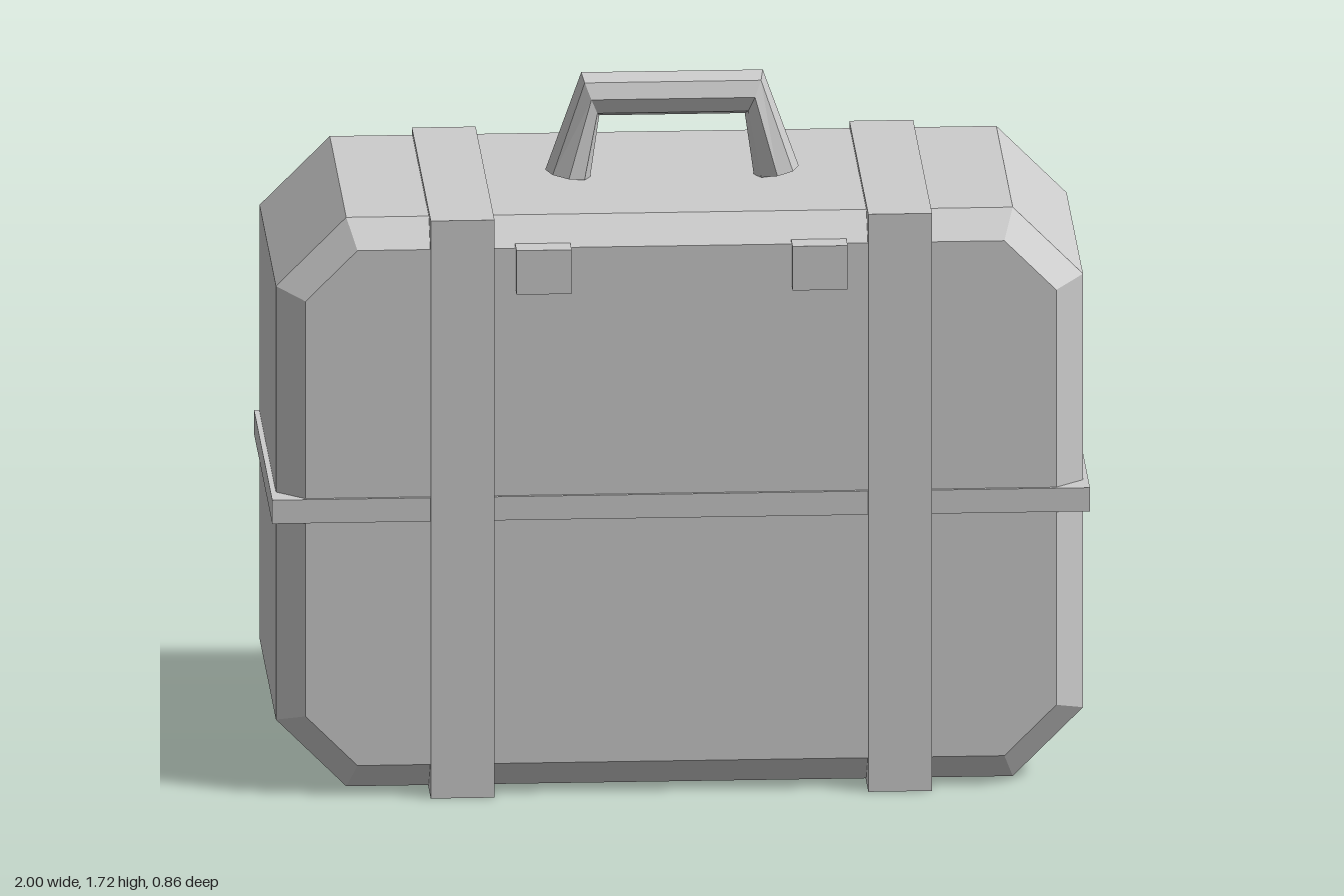
import * as THREE from 'three';

// Skin over closed rings of points (counter-clockwise around the direction of travel), capped at both ends
function loft(rings) {
  const pos = [];
  const tri = (...pts) => pts.forEach((p) => pos.push(p.x, p.y, p.z));
  const n = rings[0].length;
  for (let k = 0; k < rings.length - 1; k++) {
    const a = rings[k], b = rings[k + 1];
    for (let i = 0; i < n; i++) {
      const j = (i + 1) % n;
      tri(a[i], a[j], b[j]);
      tri(a[i], b[j], b[i]);
    }
  }
  const first = rings[0], last = rings[rings.length - 1];
  for (let i = 1; i < n - 1; i++) {
    tri(first[0], first[i + 1], first[i]);
    tri(last[0], last[i], last[i + 1]);
  }
  const geo = new THREE.BufferGeometry();
  geo.setAttribute('position', new THREE.Float32BufferAttribute(pos, 3));
  geo.computeVertexNormals();
  return geo;
}

// Rectangle with cut corners at depth z
function outline(w, y0, y1, c, z) {
  return [
    [w - c, y0], [w, y0 + c], [w, y1 - c], [w - c, y1],
    [c - w, y1], [-w, y1 - c], [-w, y0 + c], [c - w, y0],
  ].map(([x, y]) => new THREE.Vector3(x, y, z));
}

export function createModel() {
  const group = new THREE.Group();
  const grey = new THREE.MeshStandardMaterial({ color: 0xcccccc });
  grey.name = 'plain grey';

  const add = (name, geo) => {
    const mesh = new THREE.Mesh(geo, grey);
    mesh.name = name;
    group.add(mesh);
  };
  const addBox = (name, x0, x1, y0, y1, z0, z1) => {
    const geo = new THREE.BoxGeometry(x1 - x0, y1 - y0, z1 - z0);
    add(name, geo.translate((x0 + x1) / 2, (y0 + y1) / 2, (z0 + z1) / 2));
  };

  // Case body: flat back, bevelled front
  add('caseBody', loft([
    outline(0.987, 0.01, 1.455, 0.172, -0.407),
    outline(0.987, 0.01, 1.455, 0.172, 0.314),
    outline(0.918, 0.08, 1.388, 0.127, 0.377),
  ]));

  // Band around the middle
  addBox('middleBand', -1, 1, 0.7, 0.76, -0.415, 0.386);

  // Vertical straps and front clasps
  for (const [side, s] of [['left', 1], ['right', -1]]) {
    const span = (a, b) => (s > 0 ? [a, b] : [-b, -a]);
    addBox(side + 'Strap', ...span(0.457, 0.613), 0, 1.467, -0.43, 0.4);
    addBox(side + 'Clasp', ...span(0.27, 0.405), 1.285, 1.397, 0.365, 0.43);
  }

  // Eight-sided handle: centre x, y and the in-plane half-width vector of each ring
  const stations = [
    [-0.255, 1.464, -0.055, 0.01],
    [-0.2, 1.665, -0.022, 0.055],
    [0.2, 1.665, 0.022, 0.055],
    [0.255, 1.464, 0.055, 0.01],
  ];
  add('handle', loft(stations.map(([x, y, ux, uy]) =>
    Array.from({ length: 8 }, (_, i) => {
      const a = (i * Math.PI) / 4;
      return new THREE.Vector3(
        x + ux * Math.cos(a), y + uy * Math.cos(a), -0.015 + 0.055 * Math.sin(a));
    }))));

  return group;
}
